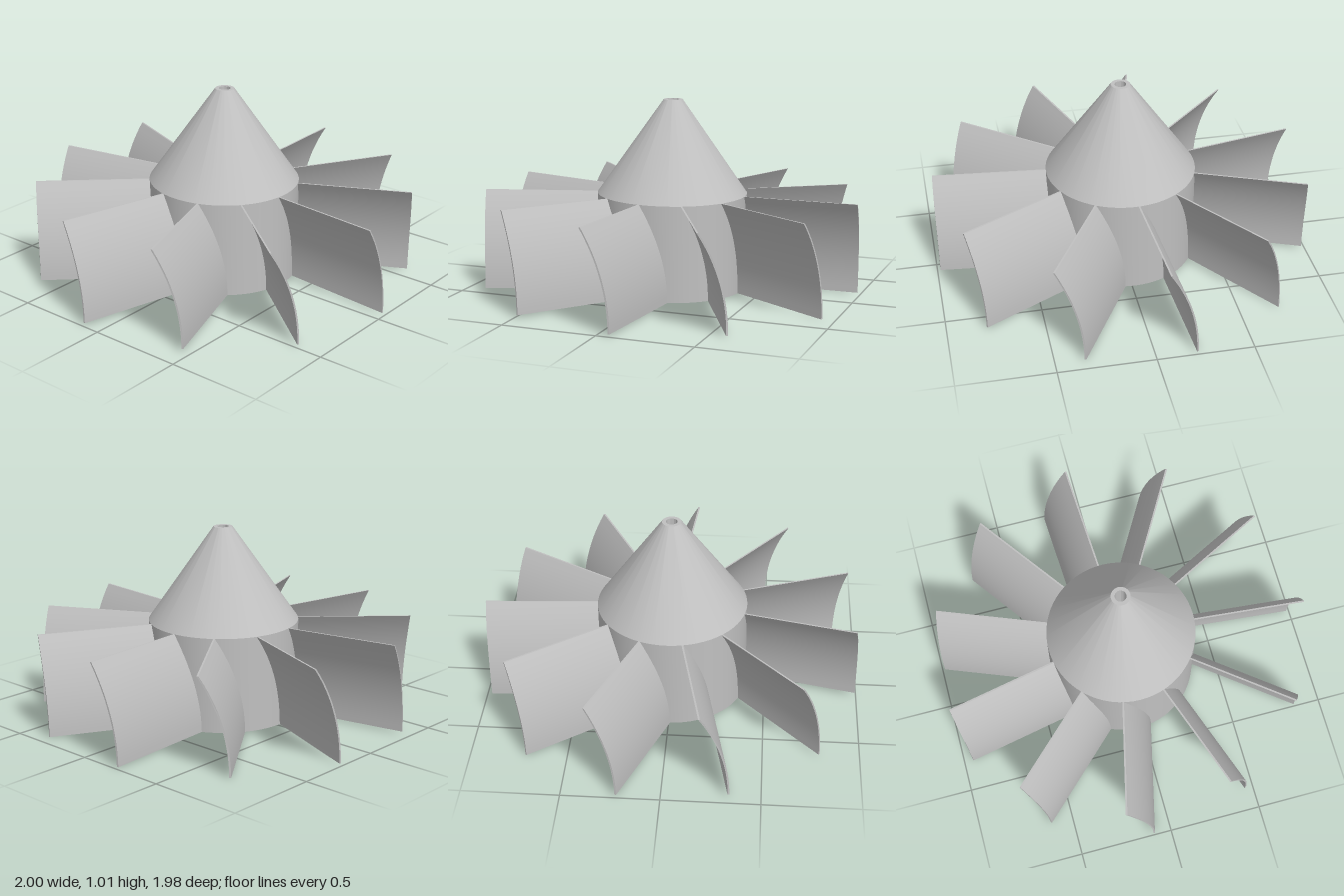
import * as THREE from 'three';
import { toCreasedNormals } from 'three/addons/utils/BufferGeometryUtils.js';

const HEIGHT = 0.505;       // hub and blade height
const HUB_R = 0.398;
const TIP_R = 0.998;
const BLADES = 11;

// Curved vane: an arc profile, vertical at the bottom and leaning at the top,
// with both ends trimmed to cylinders around the axis.
function bladeGeometry() {
  const sweep = 0.15, thick = 0.009, steps = 14;
  const R = (HEIGHT * HEIGHT + sweep * sweep) / (2 * sweep);
  const outer = [], inner = [];
  for (let i = 0; i <= steps; i++) {
    const y = (HEIGHT * i) / steps;
    const x = sweep - (R - Math.sqrt(R * R - y * y));
    outer.push(new THREE.Vector2(x + thick / 2, y));
    inner.unshift(new THREE.Vector2(x - thick / 2, y));
  }
  const geo = new THREE.ExtrudeGeometry(new THREE.Shape([...outer, ...inner]), {
    depth: 1, bevelEnabled: false,
  });
  const p = geo.attributes.position;
  for (let i = 0; i < p.count; i++) {
    const r = p.getZ(i) < 0.5 ? HUB_R - 0.02 : TIP_R;
    p.setZ(i, Math.sqrt(r * r - p.getX(i) ** 2));
  }
  return toCreasedNormals(geo, 0.5);
}

export function createModel() {
  const metal = new THREE.MeshStandardMaterial({ color: 0xc0c0c0 });
  metal.name = 'grey metal';
  const model = new THREE.Group();
  model.name = 'turbineWheel';

  const wheel = new THREE.Group();
  wheel.name = 'wheel';
  wheel.position.set(0, 0.009, -0.012);
  wheel.rotation.z = -0.009;
  model.add(wheel);

  // Hub drum, conical nose and shaft bore in one closed profile
  const profile = [
    [0.028, 0], [HUB_R, 0], [HUB_R, HEIGHT], [0.05, 1.003],
    [0.03, 1.003], [0.028, 0],
  ].map(([x, y]) => new THREE.Vector2(x, y));
  const hub = new THREE.Mesh(toCreasedNormals(new THREE.LatheGeometry(profile, 64), 0.5), metal);
  hub.name = 'hub';
  wheel.add(hub);

  // Ring of blades
  const geo = bladeGeometry();
  for (let i = 0; i < BLADES; i++) {
    const blade = new THREE.Mesh(geo, metal);
    blade.name = 'blade' + (i + 1);
    blade.rotation.y = -0.091 + (i * Math.PI * 2) / BLADES;
    wheel.add(blade);
  }
  return model;
}
